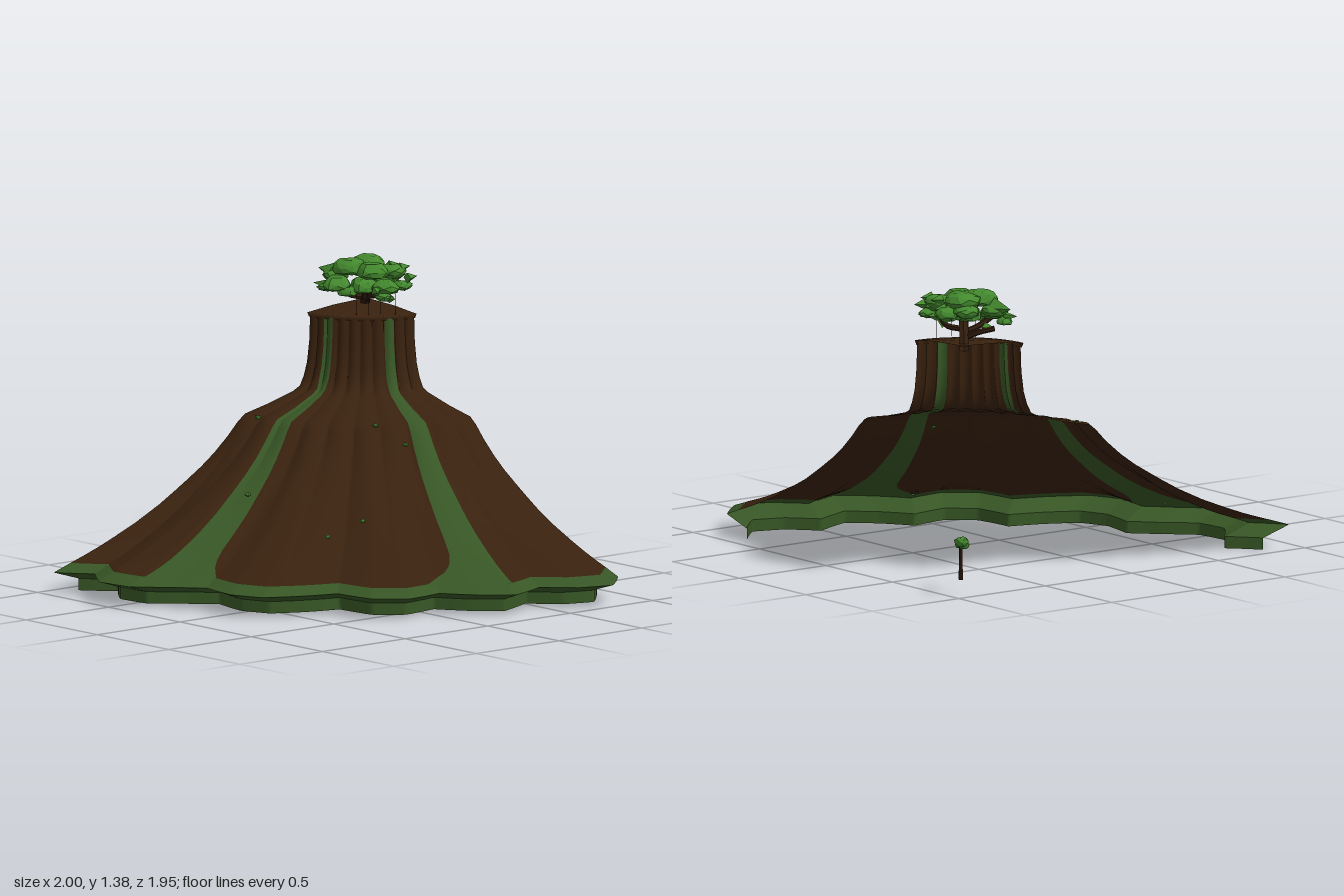
import * as THREE from 'three';

const mat = (name, color, side = THREE.DoubleSide, flatShading = false) => {
  const m = new THREE.MeshStandardMaterial({ color, side, flatShading });
  m.name = name;
  return m;
};

// The slope is a quarter turn around this corner axis
const CX = -0.92, CZ = -0.92, QUARTER = Math.PI / 2, DEG = Math.PI / 180;

// Scalloped foot of the slope (x, z)
const outline = [
  [0.85, -0.92], [1.0, -0.76], [0.95, -0.6], [0.82, -0.47], [0.9, -0.26], [0.79, -0.13], [0.64, -0.02],
  [0.66, 0.18], [0.55, 0.31], [0.34, 0.34], [0.28, 0.51], [0.19, 0.67], [0.04, 0.73], [-0.16, 0.7],
  [-0.28, 0.81], [-0.42, 0.95], [-0.6, 0.97], [-0.77, 0.85], [-0.92, 0.97],
].map(([x, z]) => [Math.atan2(z - CZ, x - CX), Math.hypot(x - CX, z - CZ)]);

function footRadius(a) {
  let i = 0;
  while (i < outline.length - 2 && outline[i + 1][0] < a) i++;
  const [a0, r0] = outline[i], [a1, r1] = outline[i + 1];
  return r0 + (r1 - r0) * THREE.MathUtils.clamp((a - a0) / (a1 - a0), 0, 1);
}

// Neck and shoulder rows: radius, height, depth of the flutes
const neck = [
  [0.345, 1.13, 0.012], [0.35, 1.0, 0.012], [0.365, 0.9, 0.014], [0.385, 0.84, 0.016], [0.41, 0.795, 0.018],
  [0.45, 0.775, 0.02], [0.6, 0.735, 0.025], [0.75, 0.703, 0.03],
];
// Slope rows: fraction from shoulder to foot, height
const slope = [
  [0.03, 0.67], [0.08, 0.613], [0.15, 0.545], [0.22, 0.488], [0.3, 0.433], [0.36, 0.393], [0.44, 0.342],
  [0.56, 0.277], [0.68, 0.222], [0.76, 0.188], [0.82, 0.165], [0.87, 0.147], [0.91, 0.133],
];
const ROWS = neck.length + slope.length;

const polar = (a, r, y) => [CX + r * Math.cos(a), y, CZ + r * Math.sin(a)];
const flute = (a) => Math.abs(Math.sin(a * 20)) - 0.6;

function slopePoint(a, g, y) {
  const R = footRadius(a);
  return polar(a, 0.76 + (R - 0.76) * g + 0.03 * flute(a) * (1 - g) ** 2, y);
}
function surface(a, row) {
  if (row < neck.length) {
    const [r, y, d] = neck[row];
    return polar(a, r + d * flute(a), y);
  }
  return slopePoint(a, ...slope[row - neck.length]);
}

// Grid surface: point(t, row), with t from 0 to 1 across
function sheet(rows, cols, point) {
  const pos = [], idx = [];
  for (let j = 0; j < rows; j++) for (let i = 0; i <= cols; i++) pos.push(...point(i / cols, j));
  for (let j = 0; j < rows - 1; j++) {
    for (let i = 0; i < cols; i++) {
      const a = j * (cols + 1) + i, c = a + cols + 1;
      idx.push(a, a + 1, c, a + 1, c + 1, c);
    }
  }
  const g = new THREE.BufferGeometry();
  g.setAttribute('position', new THREE.Float32BufferAttribute(pos, 3));
  g.setIndex(idx);
  g.computeVertexNormals();
  return g;
}

// Half width of a moss streak, flaring where it meets the rim
function streakHalf(row, flare) {
  const g = row < neck.length ? 0 : slope[row - neck.length][0];
  const narrow = row < 4 ? 3.8 : 3.2;
  return (narrow + flare * Math.max(0, (g - 0.55) / 0.36) ** 3) * DEG;
}

function seeded(seed) {
  return () => (seed = (seed * 16807) % 2147483647) / 2147483647;
}

// Rough, flattened leaf clump
function clump(r, rand, flat = 0.62) {
  const g = new THREE.IcosahedronGeometry(r, 1), p = g.attributes.position;
  const k = [rand() * 6, rand() * 6, rand() * 6];
  for (let i = 0; i < p.count; i++) {
    const x = p.getX(i), y = p.getY(i), z = p.getZ(i);
    const s = 1 + 0.16 * Math.sin((x / r) * 3 + k[0]) * Math.cos((z / r) * 3 + k[1]) + 0.08 * Math.sin((y / r) * 4 + k[2]);
    p.setXYZ(i, x * s, THREE.MathUtils.clamp(y * s, -r * 0.7, r * 0.8) * flat, z * s);
  }
  g.computeVertexNormals();
  return g;
}

export function createModel() {
  const model = new THREE.Group();
  const earth = mat('earth brown', 0x39210e);
  const moss = mat('moss green', 0x375625);
  const bark = mat('dark bark', 0x301c0d, THREE.DoubleSide, true);
  const leaf = mat('leaf green', 0x43892e, THREE.FrontSide, true);
  const add = (name, geo, m, parent = model) => {
    const mesh = new THREE.Mesh(geo, m);
    mesh.name = name;
    parent.add(mesh);
    return mesh;
  };

  // Earth sectors with moss streaks between them: angle, flare on each side
  const streaks = [[22.6, 0.3, 5.5], [70.5, 2.8, 0.8]];
  const edges = [() => 0];
  for (const [deg, low, high] of streaks) {
    edges.push((j) => deg * DEG - streakHalf(j, low), (j) => deg * DEG + streakHalf(j, high));
  }
  edges.push(() => QUARTER);
  for (let k = 0; k < edges.length - 1; k++) {
    const isStreak = k % 2 === 1;
    const geo = sheet(ROWS, isStreak ? 24 : 80, (t, j) => surface(THREE.MathUtils.lerp(edges[k](j), edges[k + 1](j), t), j));
    add(isStreak ? 'mossStreak' : 'earthSlope', geo, isStreak ? moss : earth);
  }

  // Mossy rim, undercut lip and foot wall
  const [rimG, rimY] = slope[slope.length - 1];
  add('mossRim', sheet(2, 240, (t, j) => slopePoint(t * QUARTER, j ? 1 : rimG, j ? 0.1 : rimY)), moss);
  const lip = (d0, y0, d1, y1) => sheet(2, 240, (t, j) => {
    const a = t * QUARTER;
    return polar(a, footRadius(a) - (j ? d1 : d0), j ? y1 : y0);
  });
  add('rimUnderside', lip(0, 0.1, 0.15, 0.055), moss);
  add('footWall', lip(0.15, 0.055, 0.15, 0), moss);

  // Plateau cap on the neck
  add('plateau', sheet(4, 24, (t, j) => polar(t * QUARTER, [0, 0.2, 0.355, 0.345][j], [1.157, 1.147, 1.13, 1.11][j])), earth);

  // Large leaning tree
  const tree = new THREE.Group();
  tree.name = 'largeTree';
  model.add(tree);
  const branch = (name, pts, r) => add(name,
    new THREE.TubeGeometry(new THREE.CatmullRomCurve3(pts.map((p) => new THREE.Vector3(...p))), 8, r, 6), bark, tree);
  branch('trunk', [[-0.87, 1.13, -0.87], [-0.83, 1.18, -0.84], [-0.75, 1.21, -0.78], [-0.7, 1.27, -0.74]], 0.024);
  branch('branch', [[-0.83, 1.17, -0.84], [-0.88, 1.2, -0.8], [-0.93, 1.22, -0.74]], 0.013);
  branch('branch', [[-0.8, 1.19, -0.82], [-0.79, 1.21, -0.72], [-0.8, 1.25, -0.65]], 0.014);
  branch('branch', [[-0.78, 1.2, -0.8], [-0.7, 1.21, -0.84], [-0.63, 1.24, -0.82]], 0.014);

  const rand = seeded(77);
  const clumps = [
    [-0.8, 1.34, -0.83, 0.085], [-0.8, 1.34, -0.72, 0.075], [-0.69, 1.33, -0.76, 0.075], [-0.67, 1.32, -0.86, 0.065],
    [-0.8, 1.27, -0.64, 0.07], [-0.63, 1.26, -0.79, 0.065], [-0.88, 1.29, -0.7, 0.055],
    [-0.87, 1.3, -0.86, 0.06], [-0.75, 1.28, -0.88, 0.055], [-0.62, 1.26, -0.88, 0.045], [-0.73, 1.26, -0.74, 0.07],
    [-0.9, 1.24, -0.66, 0.035], [-0.6, 1.22, -0.75, 0.035], [-0.75, 1.24, -0.66, 0.045],
  ];
  for (const [x, y, z, r] of clumps) {
    const m = add('leafClump', clump(r, rand), leaf, tree);
    m.position.set(x, y, z);
    m.rotation.y = rand() * 6;
  }
  // Pointed leaf sprays at the canopy edge: position, direction
  const sprays = [
    [-0.94, 1.31, -0.7, -1, 0], [-0.91, 1.22, -0.75, -1, 0.2], [-0.9, 1.3, -0.83, -0.6, -0.5],
    [-0.91, 1.26, -0.63, -0.7, 0.5], [-0.87, 1.25, -0.61, -0.4, 1], [-0.6, 1.21, -0.8, 1, 0.2], [-0.6, 1.25, -0.71, 0.8, 0.5],
  ];
  for (let i = 0; i < 8; i++) sprays.push([-0.76 + i * 0.025, 1.26 + (i % 3) * 0.04, -0.91, 0.1 * ((i % 3) - 1), -1]);
  sprays.forEach(([x, y, z, dx, dz], i) => {
    const m = add('leafSpray', new THREE.ConeGeometry(i ? 0.025 : 0.045, i ? 0.06 : 0.12, 4), leaf, tree);
    m.position.set(x, y, z);
    m.quaternion.setFromUnitVectors(new THREE.Vector3(0, 1, 0), new THREE.Vector3(dx, 0.05, dz).normalize());
  });
  // Hanging vines
  for (const [x, z, len] of [[-0.71, -0.68, 0.1], [-0.67, -0.72, 0.12], [-0.63, -0.76, 0.09], [-0.6, -0.82, 0.12]]) {
    add('vine', new THREE.CylinderGeometry(0.0015, 0.0015, len, 4), bark, tree).position.set(x, 1.23 - len / 2, z);
  }

  // Small tree beside the corner
  const small = new THREE.Group();
  small.name = 'smallTree';
  small.position.set(-0.93, 0.07, -0.935);
  model.add(small);
  add('smallTrunk', new THREE.CylinderGeometry(0.007, 0.011, 0.17, 6), bark, small).position.y = 0.085;
  for (const [x, y, z, r] of [[-0.02, 0.18, -0.01, 0.034], [0.02, 0.16, 0.015, 0.028], [-0.01, 0.16, 0.01, 0.026]]) {
    add('smallLeafClump', clump(r, rand, 0.8), leaf, small).position.set(x, y, z);
  }

  // Tiny shrubs dotted on the slope
  for (const [x, y, z] of [[-0.82, 0.7, -0.18], [0.04, 0.35, -0.07], [0.02, 0.295, 0.12], [-0.52, 0.42, 0.14], [-0.31, 0.7, -0.45], [-0.18, 0.62, -0.52]]) {
    add('shrub', clump(0.012, rand, 0.9), leaf).position.set(x, y, z);
  }
  return model;
}
